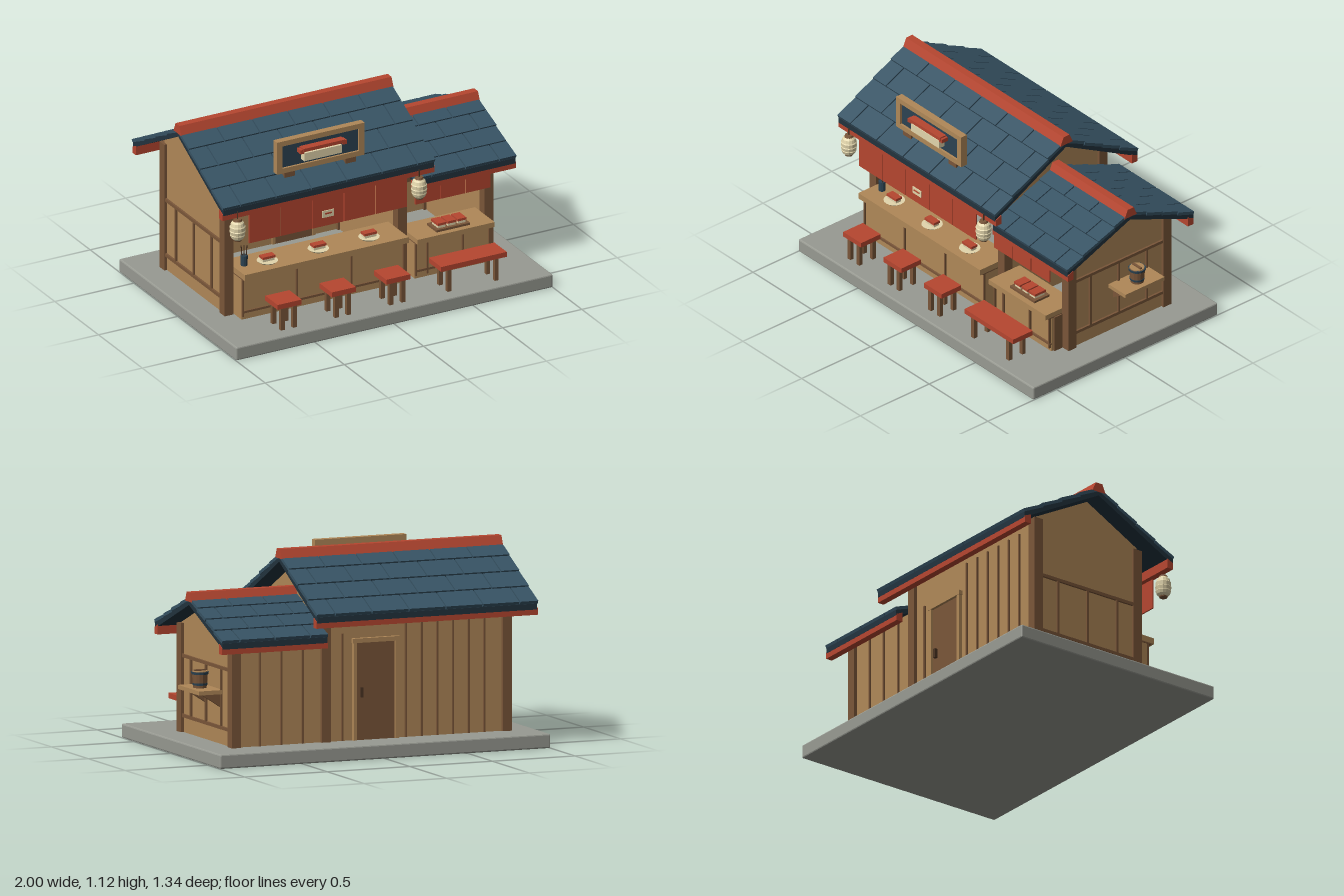
import * as THREE from 'three';
import { RoundedBoxGeometry } from 'three/addons/geometries/RoundedBoxGeometry.js';

const mat = (color) => new THREE.MeshStandardMaterial({ color, flatShading: true, side: THREE.DoubleSide });
const M = {
  stone: mat(0x989a92), wood: mat(0xb08858), dark: mat(0x7a5639), deep: mat(0x4b3423), red: mat(0xb64630),
  tile: mat(0x375364), seam: mat(0x22333e), cream: mat(0xe3d6ac), navy: mat(0x2c4352),
};
const RIDGE_Z = -0.093;

function add(parent, name, geo, m, x = 0, y = 0, z = 0) {
  const mesh = new THREE.Mesh(geo, M[m]);
  mesh.name = name;
  mesh.position.set(x, y, z);
  parent.add(mesh);
  return mesh;
}
// Box from its extents along each axis
function box(parent, name, m, x0, x1, y0, y1, z0, z1) {
  return add(parent, name, new THREE.BoxGeometry(x1 - x0, y1 - y0, z1 - z0), m,
    (x0 + x1) / 2, (y0 + y1) / 2, (z0 + z1) / 2);
}
function cyl(parent, name, m, rTop, rBottom, h, x, y, z, sides = 12) {
  return add(parent, name, new THREE.CylinderGeometry(rTop, rBottom, h, sides), m, x, y + h / 2, z);
}
// Cross-section given as [z, y] points, extruded from x0 to x1
function prism(parent, name, m, points, x0, x1) {
  const shape = new THREE.Shape(points.map(([z, y]) => new THREE.Vector2(z, y)));
  const geo = new THREE.ExtrudeGeometry(shape, { depth: x1 - x0, bevelEnabled: false }).rotateY(-Math.PI / 2);
  return add(parent, name, geo, m, x1, 0, 0);
}
function group(parent, name, x = 0, y = 0, z = 0) {
  const g = new THREE.Group();
  g.name = name;
  g.position.set(x, y, z);
  parent.add(g);
  return g;
}

// Gabled roof: dark deck, staggered tiles, ridge cap and eave boards
function roof(parent, name, x0, x1, under, eaveUnder, half, columns) {
  const g = group(parent, name), t = 0.033;
  prism(g, 'roofDeck', 'seam', [
    [RIDGE_Z - half, eaveUnder], [RIDGE_Z, under], [RIDGE_Z + half, eaveUnder],
    [RIDGE_Z + half, eaveUnder + t], [RIDGE_Z, under + t], [RIDGE_Z - half, eaveUnder + t]], x0 + 0.004, x1 - 0.004);
  const angle = Math.atan((under - eaveUnder) / half);
  const rows = 4, step = half / Math.cos(angle) / rows, width = (x1 - x0) / columns, gap = 0.007;
  for (const turn of [0, Math.PI]) {
    const side = group(g, 'roofSlope', 0, under + t, RIDGE_Z);
    side.rotation.set(angle, 0, 0);
    const holder = group(g, 'tileSide');
    holder.position.z = turn ? 2 * RIDGE_Z : 0;
    holder.scale.z = turn ? -1 : 1;
    holder.add(side);
    for (let r = 0; r < rows; r++) {
      const shift = r % 2 ? width / 2 : width;
      for (let c = -1; c < columns; c++) {
        const a = Math.max(x0, x0 + c * width + shift), b = Math.min(x1, x0 + (c + 1) * width + shift);
        if (b - a < 0.02) continue;
        const tile = box(side, 'roofTile', 'tile', a + (a > x0 ? gap / 2 : 0), b - (b < x1 ? gap / 2 : 0),
          -0.004, 0.014, r * step, (r + 1) * step - 0.002);
        tile.rotation.x = -0.05;
      }
    }
  }
  prism(g, 'ridgeCap', 'red', [[RIDGE_Z - 0.045, under + 0.02], [RIDGE_Z + 0.045, under + 0.02],
    [RIDGE_Z + 0.022, under + 0.073], [RIDGE_Z - 0.022, under + 0.073]], x0, x1);
  for (const s of [-1, 1]) {
    const e = RIDGE_Z + s * (half - 0.002), i = e - s * 0.04;
    prism(g, 'eaveBoard', 'red', [[i, eaveUnder - 0.03], [e, eaveUnder - 0.03],
      [e, eaveUnder + 0.008], [i, eaveUnder + 0.026]], x0, x1);
  }
}

// Gable wall with its timber grid on the outer face
function gableWall(parent, name, x0, x1, eaveY, apexY, out) {
  const g = group(parent, name);
  prism(g, 'gablePanel', 'wood', [[-0.44, 0.08], [0.25, 0.08], [0.25, eaveY], [RIDGE_Z, apexY], [-0.44, eaveY]], x0, x1);
  if (!out) return;
  const f = out > 0 ? x1 : x0, a = Math.min(f, f + out * 0.012), b = Math.max(f, f + out * 0.012);
  for (const y of [0.165, 0.5]) box(g, 'wallRail', 'dark', a, b, y, y + 0.018, -0.42, 0.23);
  for (const z of [0.11, -0.095, -0.3]) box(g, 'wallBatten', 'dark', a, b, 0.18, 0.5, z - 0.006, z + 0.006);
}

function stool(parent, name, x0, x1, inset) {
  const g = group(parent, name);
  box(g, 'seat', 'red', x0, x1, 0.215, 0.245, 0.458, 0.6);
  for (const x of [x0 + inset, x1 - inset - 0.024]) for (const z of [0.47, 0.567])
    box(g, 'leg', 'dark', x, x + 0.024, 0.08, 0.215, z, z + 0.024);
}

function lantern(parent, x) {
  const g = group(parent, 'lantern', x, 0.61, 0.425);
  const ribs = [[0.024, 0], [0.036, 0.012], [0.043, 0.03], [0.041, 0.034], [0.046, 0.054], [0.043, 0.058],
    [0.045, 0.08], [0.041, 0.084], [0.036, 0.103], [0.024, 0.115]].map(([r, y]) => new THREE.Vector2(r, y));
  add(g, 'lanternShade', new THREE.LatheGeometry(ribs, 14), 'cream');
  cyl(g, 'lanternBase', 'dark', 0.025, 0.022, 0.01, 0, -0.007, 0);
  cyl(g, 'lanternCap', 'dark', 0.022, 0.026, 0.012, 0, 0.113, 0);
  cyl(g, 'lanternCord', 'deep', 0.004, 0.004, 0.045, 0, 0.123, 0, 6);
}

export function createModel() {
  const model = new THREE.Group();
  add(model, 'base', new RoundedBoxGeometry(2, 0.08, 1.34, 1, 0.008), 'stone', 0, 0.04, 0);

  // Corner posts and front lintels
  for (const [x, top] of [[-0.856, 0.845], [0.24, 0.845], [0.785, 0.69]])
    for (const z of [-0.47, 0.22]) box(model, 'cornerPost', 'dark', x, x + 0.056, 0.08, top, z, z + 0.057);
  box(model, 'mainLintel', 'dark', -0.8, 0.24, 0.77, 0.83, 0.225, 0.27);
  box(model, 'annexLintel', 'dark', 0.296, 0.785, 0.635, 0.68, 0.225, 0.27);

  // Walls
  gableWall(model, 'mainLeftEndWall', -0.84, -0.815, 0.862, 1.047, -1);
  gableWall(model, 'dividingWall', 0.255, 0.28, 0.862, 1.047, 0);
  gableWall(model, 'annexEndWall', 0.8, 0.823, 0.693, 0.834, 1);
  box(model, 'mainBackWall', 'wood', -0.83, 0.265, 0.08, 0.862, -0.45, -0.43);
  box(model, 'annexBackWall', 'wood', 0.27, 0.81, 0.08, 0.69, -0.45, -0.43);
  for (let i = 0; i < 6; i++) {
    const x = -0.7 + i * 0.095;
    box(model, 'backBatten', 'dark', x, x + 0.01, 0.08, 0.8, -0.46, -0.45);
  }
  for (const x of [0.16, 0.4, 0.53, 0.66]) box(model, 'backBatten', 'dark', x, x + 0.01, 0.08, 0.68, -0.46, -0.45);

  // Back door
  const door = group(model, 'backDoor');
  box(door, 'doorLeaf', 'dark', -0.15, 0.083, 0.08, 0.625, -0.458, -0.422);
  for (const x of [-0.17, 0.083]) box(door, 'doorJamb', 'wood', x, x + 0.02, 0.08, 0.645, -0.472, -0.42);
  box(door, 'doorHead', 'wood', -0.175, 0.108, 0.625, 0.65, -0.475, -0.42);
  box(door, 'doorHandle', 'deep', 0.045, 0.06, 0.32, 0.375, -0.475, -0.458);

  roof(model, 'mainRoof', -0.95, 0.39, 1.047, 0.77, 0.517, 6);
  roof(model, 'annexRoof', 0.295, 0.936, 0.837, 0.648, 0.458, 3);

  // Serving counters: body, top, skirting rail and panel battens
  const counters = [['mainCounter', -0.8, 0.236, 0.335, 0.37, 0.405, [-0.795, -0.455, -0.11, 0.222]],
    ['annexCounter', 0.298, 0.784, 0.305, 0.335, 0.395, [0.302, 0.375, 0.6, 0.766]]];
  for (const [name, x0, x1, y0, y1, z1, battens] of counters) {
    const g = group(model, name);
    box(g, 'counterBody', 'wood', x0 + 0.005, x1 - 0.005, 0.08, y0, 0.2, z1 - 0.045);
    box(g, 'counterTop', 'wood', x0, x1, y0, y1, 0.17, z1);
    box(g, 'counterEdge', 'dark', x0 + 0.002, x1 - 0.002, y0 - 0.008, y0, 0.19, z1 - 0.02);
    box(g, 'counterRail', 'dark', x0 + 0.005, x1 - 0.005, 0.12, 0.133, z1 - 0.045, z1 - 0.035);
    for (const x of battens) box(g, 'counterBatten', 'dark', x, x + 0.009, 0.1, y0, z1 - 0.045, z1 - 0.033);
  }
  box(model, 'counterEndPost', 'dark', 0.742, 0.79, 0.08, 0.3, 0.28, 0.335);

  // Hanging curtains
  for (let i = 0; i < 5; i++) {
    const x = -0.778 + i * 0.2;
    box(model, 'mainCurtain', 'red', x, x + 0.194, 0.565, 0.745, 0.41, 0.418);
  }
  for (let i = 0; i < 3; i++) {
    const x = 0.302 + i * 0.16;
    box(model, 'annexCurtain', 'red', x, x + 0.154, 0.535, 0.635, 0.353, 0.361);
  }
  box(model, 'curtainTag', 'cream', -0.318, -0.246, 0.617, 0.658, 0.418, 0.423);
  box(model, 'curtainTagStripe', 'red', -0.304, -0.26, 0.637, 0.645, 0.423, 0.426);
  for (const x of [-0.857, 0.29]) lantern(model, x);

  // Roof sign with a plain food emblem
  const sign = group(model, 'roofSign');
  box(sign, 'signBack', 'wood', -0.558, -0.005, 0.9, 1.095, 0.295, 0.318);
  for (const y of [0.9, 1.065]) box(sign, 'signFrame', 'wood', -0.558, -0.005, y, y + 0.03, 0.318, 0.337);
  for (const x of [-0.558, -0.04]) box(sign, 'signFrame', 'wood', x, x + 0.035, 0.93, 1.065, 0.318, 0.337);
  box(sign, 'signPanel', 'navy', -0.523, -0.04, 0.93, 1.065, 0.318, 0.324);
  box(sign, 'emblemRice', 'cream', -0.4, -0.163, 0.957, 1.005, 0.324, 0.362);
  box(sign, 'emblemTopping', 'red', -0.41, -0.147, 1.017, 1.037, 0.324, 0.37);
  for (const x of [-0.425, -0.158]) box(sign, 'emblemEnd', 'red', x, x + 0.025, 1.006, 1.03, 0.324, 0.366);
  for (const x of [-0.507, -0.122]) box(sign, 'signFoot', 'dark', x, x + 0.067, 0.865, 0.91, 0.262, 0.33);

  // Stools and bench
  for (const x of [-0.7, -0.358, -0.014]) stool(model, 'stool', x, x + 0.152, 0.026);
  stool(model, 'bench', 0.333, 0.747, 0.046);

  // Plates, cup and tray on the counters
  const piece = (g, x, y, z, w, d) => {
    box(g, 'rice', 'cream', x - w / 2, x + w / 2, y, y + 0.016, z - d / 2, z + d / 2);
    box(g, 'topping', 'red', x - w / 2 - 0.004, x + w / 2 + 0.004, y + 0.016, y + 0.03, z - d / 2 - 0.004, z + d / 2 + 0.004);
  };
  for (const x of [-0.605, -0.283, 0.037]) {
    const g = group(model, 'plateOfFood');
    cyl(g, 'plate', 'cream', 0.06, 0.045, 0.012, x, 0.37, 0.31, 16);
    piece(g, x, 0.382, 0.31, 0.072, 0.036);
  }
  const cup = group(model, 'chopstickCup', -0.738, 0.37, 0.285);
  cyl(cup, 'cup', 'navy', 0.021, 0.019, 0.06, 0, 0, 0);
  [-0.012, 0, 0.011].forEach((x, i) => {
    const stick = cyl(cup, 'chopstick', 'deep', 0.003, 0.003, 0.1, x, 0.02, (i - 1) * 0.006, 6);
    stick.rotation.z = -x * 6;
  });
  const tray = group(model, 'foodTray');
  box(tray, 'tray', 'dark', 0.437, 0.648, 0.335, 0.348, 0.25, 0.36);
  for (const x of [0.48, 0.543, 0.606]) piece(tray, x, 0.348, 0.305, 0.046, 0.07);

  // Side shelf with bucket
  const shelf = group(model, 'sideShelf');
  box(shelf, 'shelfBoard', 'wood', 0.823, 0.968, 0.362, 0.385, -0.312, -0.028);
  for (const z of [-0.07, -0.268]) {
    const tri = new THREE.Shape([[0.823, 0.285], [0.94, 0.362], [0.823, 0.362]].map(([x, y]) => new THREE.Vector2(x, y)));
    add(shelf, 'shelfBracket', new THREE.ExtrudeGeometry(tri, { depth: 0.022, bevelEnabled: false }), 'dark', 0, 0, z - 0.011);
  }
  const bucket = group(model, 'bucket', 0.9, 0.385, -0.17);
  cyl(bucket, 'bucketBody', 'dark', 0.046, 0.038, 0.09, 0, 0, 0, 14);
  cyl(bucket, 'lowerHoop', 'navy', 0.043, 0.0415, 0.012, 0, 0.015, 0, 14);
  cyl(bucket, 'upperHoop', 'navy', 0.05, 0.048, 0.014, 0, 0.076, 0, 14);
  cyl(bucket, 'bucketLid', 'wood', 0.042, 0.042, 0.004, 0, 0.09, 0, 14);
  box(bucket, 'bucketHandle', 'dark', -0.035, 0.035, 0.094, 0.102, -0.007, 0.007);
  return model;
}
